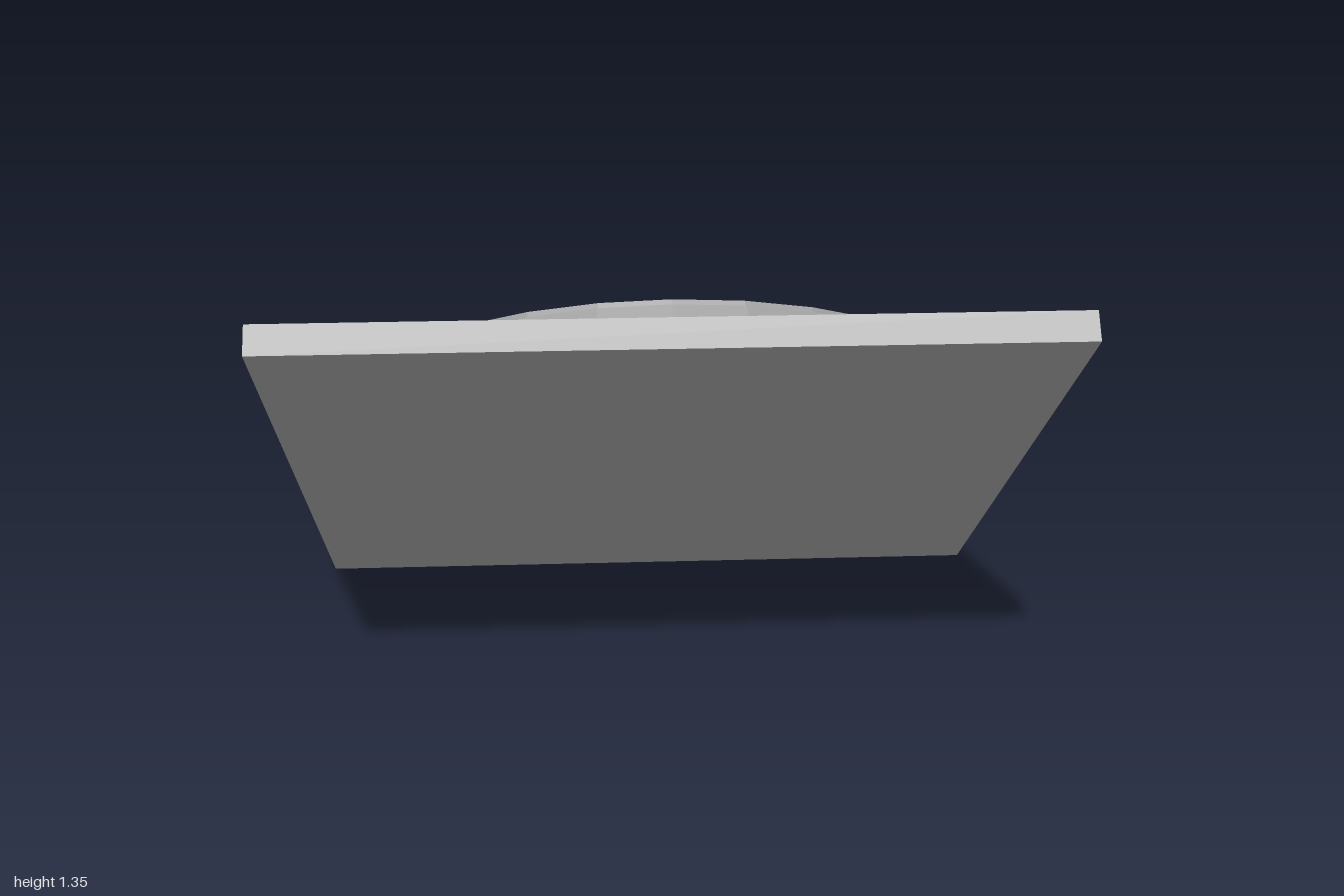
import * as THREE from 'three';

const TILT = THREE.MathUtils.degToRad(40.8);
const SIDES = 32;

// Lathe a list of [radius, height] points
function lathe(points, flat) {
  const geometry = new THREE.LatheGeometry(points.map(([r, y]) => new THREE.Vector2(r, y)), SIDES);
  if (!flat) return geometry;
  const faceted = geometry.toNonIndexed();
  faceted.computeVertexNormals();
  return faceted;
}

export function createModel() {
  const model = new THREE.Group();
  const lightGrey = new THREE.MeshStandardMaterial({ color: 0x9c9c9c });
  lightGrey.name = 'light grey';
  const darkGrey = new THREE.MeshStandardMaterial({ color: 0x595959 });
  darkGrey.name = 'dark grey';

  // Everything sits on one plane that rises towards the front
  const panel = new THREE.Group();
  panel.name = 'tiltedPanel';
  panel.position.y = 0.675;
  panel.rotation.x = -TILT;
  model.add(panel);

  const add = (name, geometry, material) => {
    const mesh = new THREE.Mesh(geometry, material);
    mesh.name = name;
    panel.add(mesh);
    return mesh;
  };

  // Square backing slab
  add('slab', new THREE.BoxGeometry(2, 0.079, 1.972), lightGrey);

  // Stepped bezel with a sloping outer wall and a low inner lip
  const bezel = add('bezel', lathe([
    [0.937, 0.038], [0.918, 0.105], [0.905, 0.105],
    [0.902, 0.124], [0.873, 0.124], [0.866, 0.083],
  ], true), lightGrey);

  // Shallow dome with a rounded edge, seated inside the bezel
  const profile = [[0.866, 0.083], [0.845, 0.108]];
  for (let i = 0; i <= 10; i++) {
    const r = 0.82 * (1 - i / 10);
    profile.push([r, 0.188 - 0.096 * r * r]);
  }
  const dome = add('dome', lathe(profile, false), darkGrey);

  // Round parts are slightly shorter along the slope
  for (const part of [bezel, dome]) part.scale.z = 0.982;

  return model;
}
